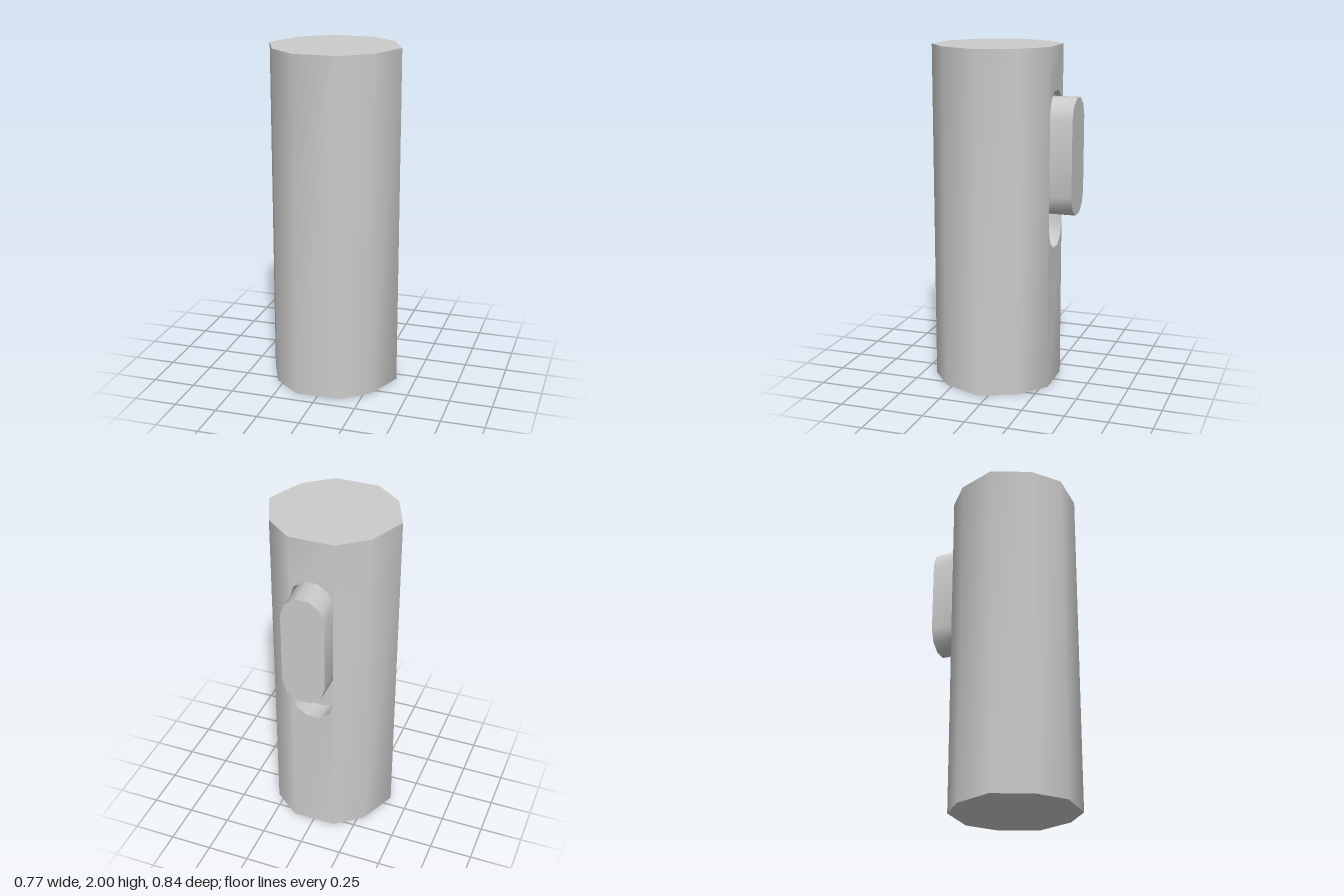
import * as THREE from 'three';
import { mergeGeometries, toCreasedNormals } from 'three/addons/utils/BufferGeometryUtils.js';

const HEIGHT = 2, BACK = -0.29, FLOOR = -0.17, BUTTON_END = -0.42, R = 0.127;
const CREASE = 0.9;

// Upright slot outline (counter-clockwise) with five-sided half-round ends
function slotPoints(bottom, top) {
  const rise = R * Math.sin(Math.PI * 0.4);
  const pts = [];
  for (let half = 0; half < 2; half++) {
    const cy = half === 0 ? top - rise : bottom + rise;
    for (let i = 0; i <= 5; i++) {
      const a = Math.PI * (half + i / 5);
      pts.push(new THREE.Vector2(R * Math.cos(a), cy + R * Math.sin(a)));
    }
  }
  return pts;
}

// Band of quads between two rows of points
function strip(a, b) {
  const pos = [];
  for (let i = 0; i < a.length - 1; i++) {
    for (const p of [a[i], a[i + 1], b[i + 1], a[i], b[i + 1], b[i]]) pos.push(...p);
  }
  const g = new THREE.BufferGeometry();
  g.setAttribute('position', new THREE.Float32BufferAttribute(pos, 3));
  return g;
}

function flat(shape) {
  const g = new THREE.ShapeGeometry(shape).toNonIndexed();
  g.deleteAttribute('uv');
  g.deleteAttribute('normal');
  return g;
}

function finish(parts) {
  const g = mergeGeometries(parts);
  g.computeVertexNormals();
  return toCreasedNormals(g, CREASE);
}

// Ten-sided body with a slot sunk into its back face
function bodyGeometry() {
  const side = [[-0.13, BACK], [-0.29, -0.163], [-0.387, 0.063], [-0.29, 0.289], [-0.13, 0.417]];
  const ring = [...side, ...side.map(([x, z]) => [-x, z]).reverse()];
  const walls = strip(ring.map(([x, z]) => [x, 0, z]), ring.map(([x, z]) => [x, HEIGHT, z]));

  const topCap = flat(new THREE.Shape(ring.map(([x, z]) => new THREE.Vector2(x, -z))));
  topCap.rotateX(-Math.PI / 2).translate(0, HEIGHT, 0);
  const bottomCap = flat(new THREE.Shape(ring.map(([x, z]) => new THREE.Vector2(x, z))));
  bottomCap.rotateX(Math.PI / 2);

  const slot = slotPoints(0.83, 1.745);
  const panel = new THREE.Shape([[-0.13, 0], [0.13, 0], [0.13, HEIGHT], [-0.13, HEIGHT]]
    .map(([x, y]) => new THREE.Vector2(x, y)));
  panel.holes.push(new THREE.Path(slot));
  const back = flat(panel).rotateY(Math.PI).translate(0, 0, BACK);

  const loop = [...slot, slot[0]];
  const slotWalls = strip(loop.map(p => [p.x, p.y, FLOOR]), loop.map(p => [p.x, p.y, BACK]));
  const slotFloor = flat(new THREE.Shape(slot)).rotateY(Math.PI).translate(0, 0, FLOOR);

  return finish([walls, topCap, bottomCap, back, slotWalls, slotFloor]);
}

// Sliding button standing on the slot floor
function buttonGeometry() {
  const g = new THREE.ExtrudeGeometry(new THREE.Shape(slotPoints(1.035, 1.71)),
    { depth: FLOOR - BUTTON_END, bevelEnabled: false });
  g.translate(0, 0, BUTTON_END);
  return toCreasedNormals(g, CREASE);
}

export function createModel() {
  const group = new THREE.Group();
  const material = new THREE.MeshStandardMaterial({ color: 0xcccccc });
  const add = (name, geometry) => {
    const mesh = new THREE.Mesh(geometry, material);
    mesh.name = name;
    group.add(mesh);
  };
  add('body', bodyGeometry());
  add('slideButton', buttonGeometry());
  return group;
}
